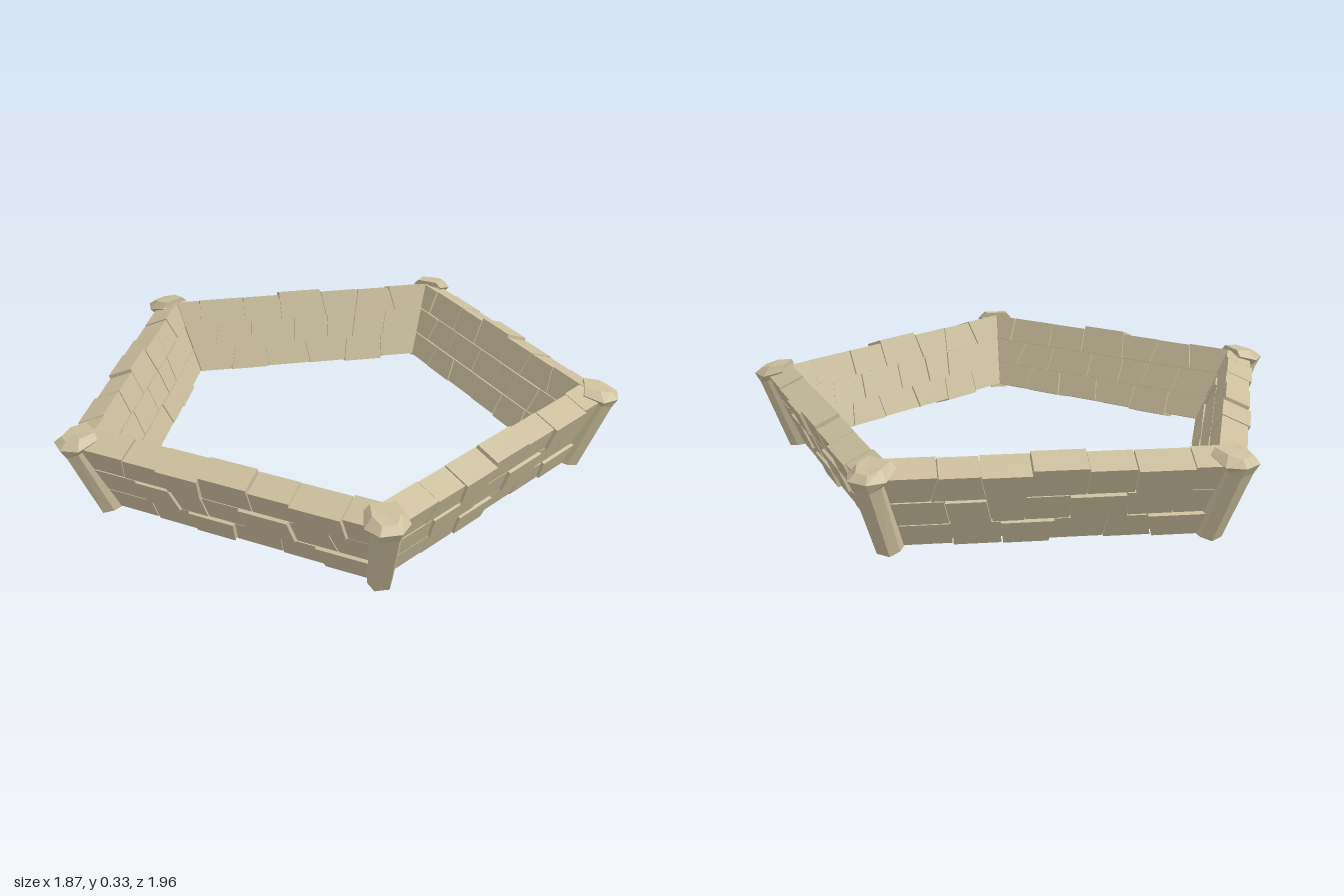
import * as THREE from 'three';

const stoneMat = new THREE.MeshStandardMaterial({ color: 0xcabe9c });
const LEAN = THREE.MathUtils.degToRad(22);
const MITRE = Math.tan(Math.PI / 5);
const THICK = 0.088;

// Small seeded random so every build gives the same masonry
let seed = 7;
const rand = () => (seed = (seed * 16807) % 2147483647) / 2147483647;

// Flat-faced solid from a stack of rings; points are [radial, y, along]
function loft(rings) {
  const pos = [];
  const tri = (...pts) => pts.forEach((p) => pos.push(...p));
  const n = rings[0].length;
  const centre = (ring) => [0, 1, 2].map((k) => ring.reduce((s, p) => s + p[k], 0) / n);
  const low = rings[0], high = rings[rings.length - 1];
  for (let i = 0; i < n; i++) {
    const j = (i + 1) % n;
    for (let k = 0; k + 1 < rings.length; k++) {
      const a = rings[k], b = rings[k + 1];
      tri(a[i], b[i], a[j]);
      tri(a[j], b[i], b[j]);
    }
    tri(centre(low), low[i], low[j]);
    tri(centre(high), high[j], high[i]);
  }
  const geo = new THREE.BufferGeometry();
  geo.setAttribute('position', new THREE.Float32BufferAttribute(pos, 3));
  geo.computeVertexNormals();
  return geo;
}

// Point on the leaning wall: h up the slope, d inward from the outer face,
// s along the wall, cut off at the mitre with the neighbouring wall
function wallPoint(h, d, s) {
  const r = 0.693 + h * Math.sin(LEAN) - d * Math.cos(LEAN);
  const y = 0.015 + h * Math.cos(LEAN) + d * Math.sin(LEAN);
  const lim = r * MITRE;
  return [r, y, THREE.MathUtils.clamp(s, -lim, lim)];
}

// Block with separate ends at the bottom and top, so joints may slant
function block(h0, h1, out, inn, s0, s1, s2, s3) {
  return loft([[h0, s0, s1], [h1, s2, s3]].map(([h, a, b]) => [
    wallPoint(h, out, a), wallPoint(h, out, b), wallPoint(h, inn, b), wallPoint(h, inn, a),
  ]));
}

// Courses from the ground up: slope range and joint positions
const courses = [
  { from: 0, to: 0.092, joints: [-0.7, -0.31, -0.17, 0.0, 0.16, 0.31, 0.7] },
  { from: 0.092, to: 0.191, joints: [-0.7, -0.37, -0.23, -0.05, 0.09, 0.2, 0.33, 0.7] },
  { from: 0.191, to: 0.286, joints: [-0.7, -0.43, -0.25, -0.1, 0.08, 0.22, 0.37, 0.7] },
];

function wallParts() {
  const parts = [['mortarCore', block(0.01, 0.276, 0.01, THICK - 0.01, -1, 1, -1, 1)]];
  const gap = 0.002;
  courses.forEach(({ from, to, joints }, c) => {
    const slant = joints.map(() => (rand() - 0.5) * 0.024);
    for (let i = 0; i + 1 < joints.length; i++) {
      const top = c === 2;
      const raised = top && i === 3 ? 0.014 : top ? rand() * 0.005 : -gap;
      const sunk = c === 0 ? (rand() - 0.5) * 0.01 : gap;
      const proud = (i + c) % 3 === 0 ? 0.012 : rand() * 0.005;
      parts.push(['wallStone', block(
        from + sunk, to + raised, -proud, THICK + (rand() - 0.3) * 0.008,
        joints[i] + gap - slant[i], joints[i + 1] - gap - slant[i + 1],
        joints[i] + gap + slant[i], joints[i + 1] - gap + slant[i + 1],
      )]);
    }
  });
  return parts;
}

// Six-sided post section: outer, side and inner corner pairs as [radial, y, half width]
function postRing(outer, side, inner) {
  const flip = ([r, y, t]) => [r, y, -t];
  return [flip(outer), outer, side, inner, flip(inner), flip(side)];
}

function postParts() {
  const shaft = loft([
    postRing([0.9, 0.0, 0.024], [0.865, 0.008, 0.04], [0.8, 0.022, 0.03]),
    postRing([1.0, 0.25, 0.03], [0.965, 0.262, 0.05], [0.89, 0.29, 0.04]),
  ]);
  const cap = loft([
    postRing([1.0, 0.25, 0.03], [0.965, 0.262, 0.05], [0.89, 0.29, 0.04]),
    postRing([1.02, 0.285, 0.034], [0.97, 0.285, 0.072], [0.9, 0.305, 0.06]),
    postRing([0.995, 0.306, 0.022], [0.955, 0.318, 0.045], [0.9, 0.325, 0.04]),
  ]);
  return [['postShaft', shaft], ['postCap', cap]];
}

function assemble(name, parts, angle) {
  const group = new THREE.Group();
  group.name = name;
  for (const [part, geo] of parts) {
    const mesh = new THREE.Mesh(geo, stoneMat);
    mesh.name = part;
    group.add(mesh);
  }
  group.rotation.y = -angle;
  group.position.x = -0.1;
  return group;
}

export function createModel() {
  seed = 7;
  stoneMat.name = 'sandstone';
  const model = new THREE.Group();
  model.name = 'pentagonStoneWall';
  const wall = wallParts(), post = postParts();
  // Five walls with a post at each corner
  for (let i = 0; i < 5; i++) {
    const angle = (i * Math.PI * 2) / 5;
    model.add(assemble('cornerPost', post, angle));
    model.add(assemble('wall', wall, angle + Math.PI / 5));
  }
  return model;
}
